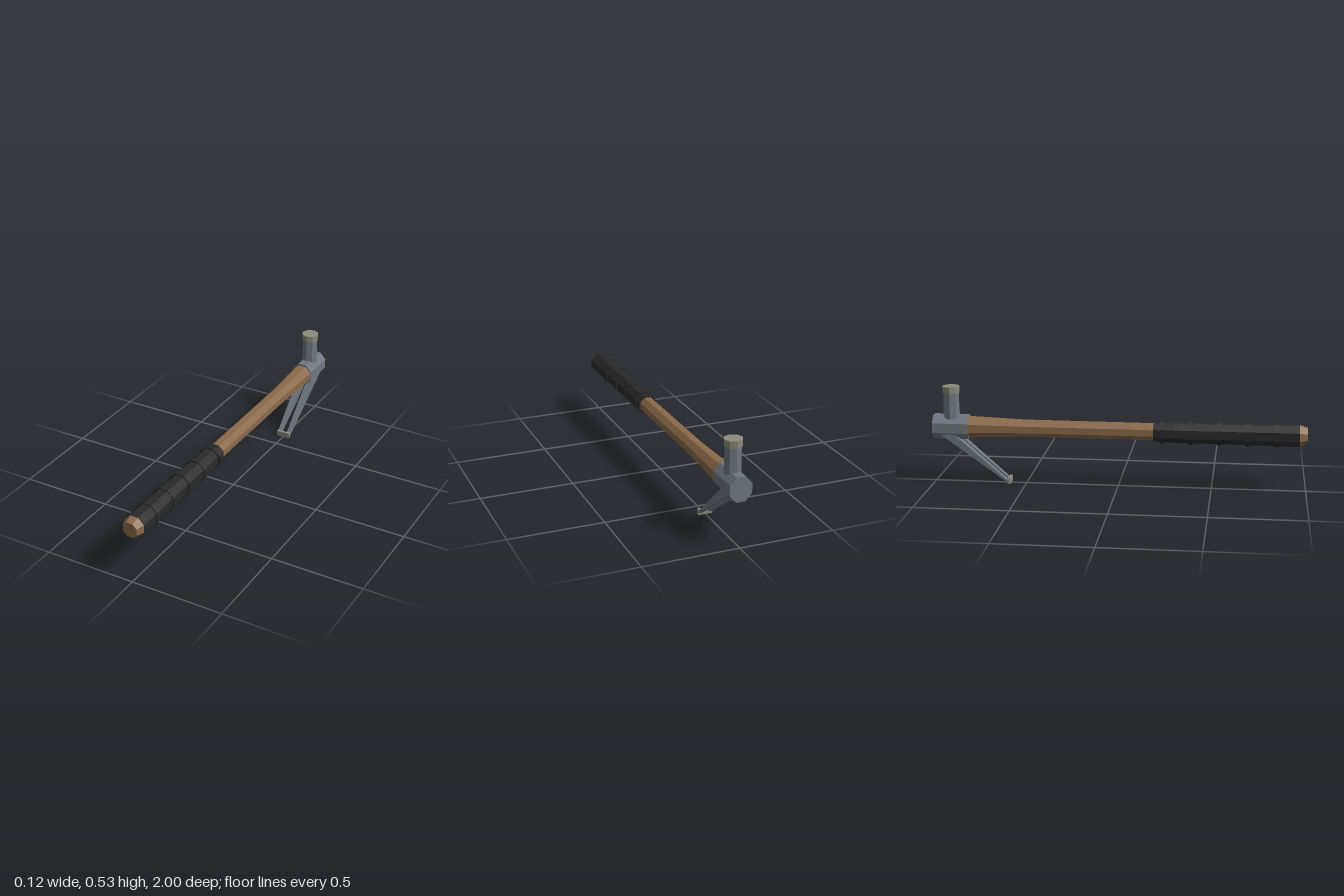
import * as THREE from 'three';

const AXIS_Y = 0.305; // height of the handle's axis
const HEAD_Z = -0.903; // centre of the hammer head

function material(name, color) {
  const m = new THREE.MeshStandardMaterial({ color, flatShading: true });
  m.name = name;
  return m;
}

// Closed eight-sided solid; profile is [distance to flat, z] from back to front
function octagonAlongZ(profile) {
  const k = 1 / Math.cos(Math.PI / 8);
  const pts = profile.map(([r, z]) => new THREE.Vector2(r * k, z));
  pts.unshift(new THREE.Vector2(0, profile[0][1]));
  pts.push(new THREE.Vector2(0, profile[profile.length - 1][1]));
  return new THREE.LatheGeometry(pts, 8, Math.PI / 8).rotateX(Math.PI / 2);
}

// Box whose upper and lower faces are given as [x0, x1, z0, z1]
function taperedBox(y0, lower, y1, upper) {
  const g = new THREE.BoxGeometry(1, 1, 1);
  const p = g.attributes.position;
  for (let i = 0; i < p.count; i++) {
    const top = p.getY(i) > 0;
    const s = top ? upper : lower;
    p.setXYZ(i, p.getX(i) < 0 ? s[0] : s[1], top ? y1 : y0, p.getZ(i) < 0 ? s[2] : s[3]);
  }
  g.computeVertexNormals();
  return g;
}

export function createModel() {
  const group = new THREE.Group();
  const wood = material('wood', 0x8b6a4a);
  const steel = material('steel', 0x70777f);
  const wornSteel = material('worn steel', 0x8c8b7c);
  const rubber = material('black grip', 0x292929);

  const add = (name, geometry, mat, y = 0, z = 0) => {
    const mesh = new THREE.Mesh(geometry, mat);
    mesh.name = name;
    mesh.position.set(0, y, z);
    group.add(mesh);
    return mesh;
  };

  // Wooden shaft, flared towards the head and chamfered at the butt
  add('handle', octagonAlongZ([
    [0.055, -0.83], [0.053, -0.78], [0.043, -0.5], [0.042, 0.19], [0.0535, 0.958], [0.039, 1],
  ]), wood, AXIS_Y);

  // Grip sleeve and its raised rings
  add('grip', octagonAlongZ([[0.049, 0.19], [0.052, 0.3], [0.056, 0.958]]), rubber, AXIS_Y);
  for (let i = 0; i < 5; i++) {
    const r = 0.058 + i * 0.0006;
    add('gripRing', octagonAlongZ([[r, -0.013], [r, 0.013]]), rubber, AXIS_Y, 0.237 + i * 0.15);
  }

  // Head block, slightly taller than wide
  add('head', octagonAlongZ([[0.062, -1], [0.062, -0.808]]).scale(0.92, 1.03, 1), steel, AXIS_Y);

  // Neck and striking face
  add('neck', new THREE.CylinderGeometry(0.042, 0.045, 0.14, 8), steel, 0.422, HEAD_Z);
  add('strikingFace', new THREE.CylinderGeometry(0.048, 0.0465, 0.037, 8), wornSteel, 0.509, HEAD_Z);

  // Two prongs of the claw sweeping forward, joined by a tip plate
  for (const side of [1, -1]) {
    const span = (a, b) => (side > 0 ? [a, b] : [-b, -a]);
    add(side > 0 ? 'leftProng' : 'rightProng', taperedBox(
      0.012, [...span(0.015, 0.039), -0.602, -0.588],
      0.275, [...span(0.009, 0.049), -0.966, -0.888],
    ), steel);
  }
  add('clawTip', new THREE.BoxGeometry(0.077, 0.03, 0.016), wornSteel, 0.015, -0.592);

  return group;
}
